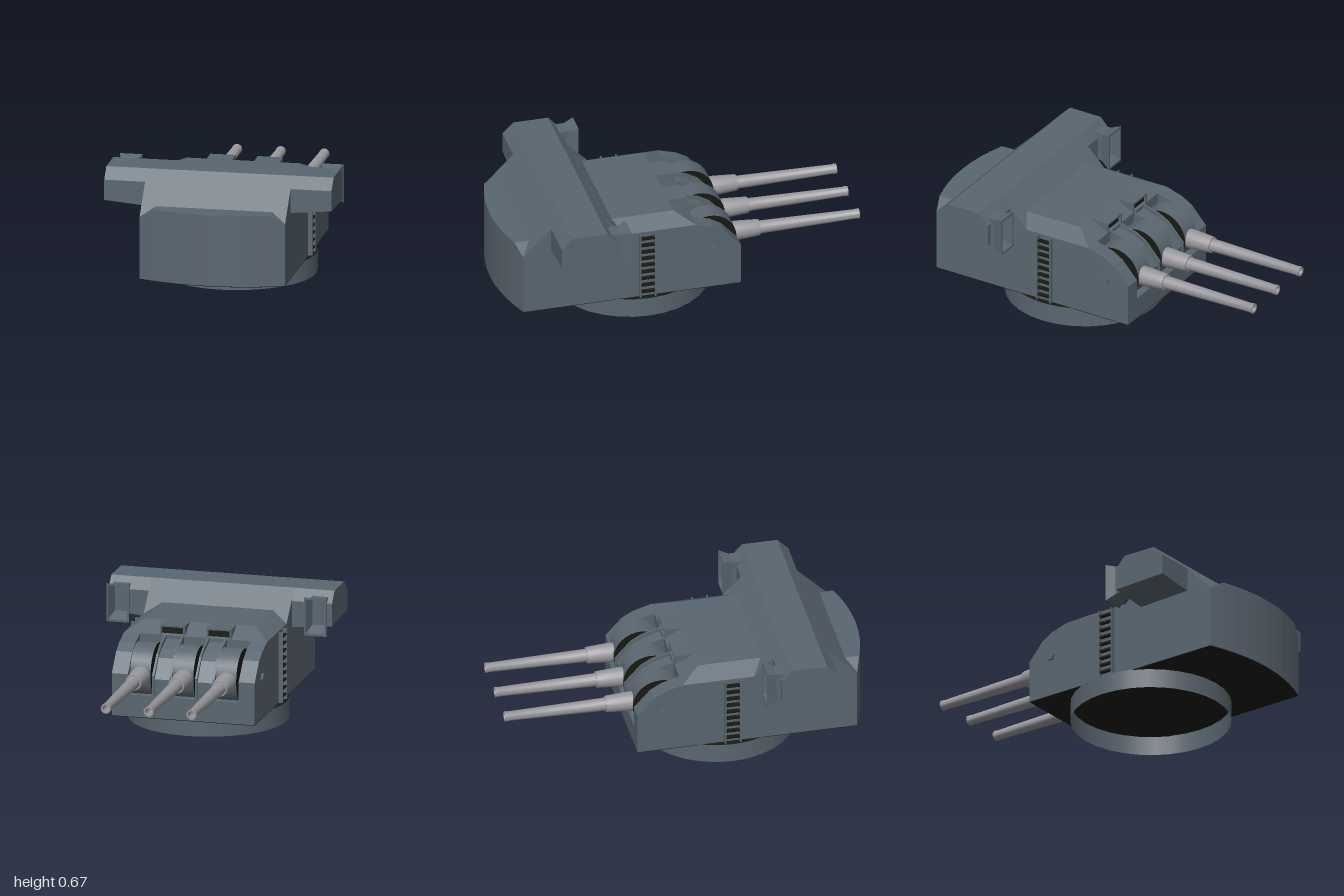
import * as THREE from 'three';
import { toCreasedNormals } from 'three/addons/utils/BufferGeometryUtils.js';

const armour = new THREE.MeshStandardMaterial({ color: 0x5a6670 });
armour.name = 'armourGrey';
armour.side = THREE.DoubleSide;
const steel = new THREE.MeshStandardMaterial({ color: 0x98989c });
steel.name = 'barrelSteel';
const dark = new THREE.MeshStandardMaterial({ color: 0x1a1a12 });
dark.name = 'darkRecess';
dark.side = THREE.DoubleSide;

// Flat-shaded skin over matching cross-sections, capped at both ends
function loft(sections) {
  const pos = [];
  const tri = (a, b, c) => pos.push(...a, ...b, ...c);
  const n = sections[0].length;
  for (let s = 0; s + 1 < sections.length; s++) {
    const A = sections[s], B = sections[s + 1];
    for (let i = 0; i < n; i++) {
      const j = (i + 1) % n;
      tri(A[i], A[j], B[j]);
      tri(A[i], B[j], B[i]);
    }
  }
  const first = sections[0], last = sections[sections.length - 1];
  for (let i = 1; i + 1 < n; i++) {
    tri(first[0], first[i + 1], first[i]);
    tri(last[0], last[i], last[i + 1]);
  }
  const g = new THREE.BufferGeometry();
  g.setAttribute('position', new THREE.Float32BufferAttribute(pos, 3));
  g.computeVertexNormals();
  return g;
}

// Side profile of [z, y] points, extruded from x0 to x1
function prism(profile, x0, x1) {
  const shape = new THREE.Shape(profile.map(([z, y]) => new THREE.Vector2(z, y)));
  const g = new THREE.ExtrudeGeometry(shape, { depth: x1 - x0, bevelEnabled: false });
  return g.rotateY(-Math.PI / 2).translate(x1, 0, 0);
}

// Box given by its limits
function block(x0, x1, y0, y1, z0, z1) {
  return new THREE.BoxGeometry(x1 - x0, y1 - y0, z1 - z0)
    .translate((x0 + x1) / 2, (y0 + y1) / 2, (z0 + z1) / 2);
}

export function createModel() {
  const model = new THREE.Group();
  model.name = 'gunTurret';
  const add = (name, geometry, material = armour) => {
    const m = new THREE.Mesh(geometry, material);
    m.name = name;
    model.add(m);
    return m;
  };
  const rearZ = x => 0.915 + 0.08 * (1 - (x / 0.4) ** 2);

  // Base ring, open below, with a dark top
  add('baseRing', new THREE.CylinderGeometry(0.435, 0.435, 0.11, 32, 1, true).translate(0, 0.055, 0.22));
  add('baseRingTop', new THREE.CircleGeometry(0.435, 32).rotateX(-Math.PI / 2).translate(0, 0.109, 0.22), dark);

  // Main house with its raised rear ridge
  add('house', prism([
    [0.915, 0.11], [0.915, 0.455], [0.70, 0.67], [0.505, 0.67], [0.345, 0.51],
    [-0.05, 0.51], [-0.05, 0.455], [0, 0.4], [0, 0.11],
  ], -0.4, 0.4));
  add('frontSill', block(-0.4, 0.4, 0.11, 0.23, -0.3, 0));

  // Curved rear with chamfered top corners
  const xs = [-0.4, -0.32, -0.24, -0.16, -0.08, 0, 0.08, 0.16, 0.24, 0.32, 0.4];
  add('curvedRear', loft(xs.map(x => {
    const top = Math.abs(x) > 0.33 ? 0.455 : 0.505;
    return [[x, 0.11, 0.865], [x, top, 0.865], [x, top, rearZ(x)], [x, 0.11, rearZ(x)]];
  })));

  // Dark underside following the plan
  const plan = new THREE.Shape([
    new THREE.Vector2(-0.4, -0.3), new THREE.Vector2(0.4, -0.3),
    ...xs.slice().reverse().map(x => new THREE.Vector2(x, rearZ(x))),
  ]);
  add('underside', new THREE.ShapeGeometry(plan).rotateX(Math.PI / 2).translate(0, 0.107, 0), dark);

  // Raised roof with sloped front and sides
  add('raisedRoof', loft([
    [[-0.4, 0.51, -0.05], [-0.4, 0.51, 0.35], [0.4, 0.51, 0.35], [0.4, 0.51, -0.05]],
    [[-0.31, 0.565, 0.055], [-0.31, 0.565, 0.4], [0.31, 0.565, 0.4], [0.31, 0.565, 0.055]],
  ]));

  // Rangefinder beam across the rear
  add('rangefinderBeam', loft([[-0.625, 0.02], [-0.4, 0], [0.4, 0], [0.625, 0.02]].map(([x, lift]) => [
    [x, 0.465 + lift, 0.45], [x, 0.61, 0.45], [x, 0.67, 0.505],
    [x, 0.67, 0.70], [x, 0.61, 0.76], [x, 0.477 + lift, 0.76],
  ])));

  // Front armour outline shared by cheeks and rib plates
  const front = (drop = 0) => [
    [0, 0.2], [0, 0.51 - drop], [-0.05, 0.51 - drop], [-0.15, 0.48 - drop],
    [-0.21, 0.445 - drop], [-0.3 + drop / 2, 0.345 - drop], [-0.3 + drop / 2, 0.2],
  ];

  for (const s of [-1, 1]) {
    const span = (a, b) => (s > 0 ? [a, b] : [-b, -a]);

    // Cheeks, ribs between the guns, and their edge plates
    add('cheek', prism(front(), ...span(0.31, 0.4)));
    add('rib', prism(front(0.02), ...span(0.07, 0.17)));
    add('ribPlate', prism(front(), ...span(0.065, 0.077)));
    add('ribPlate', prism(front(), ...span(0.163, 0.175)));

    // Sighting hood above each rib, open to the front
    add('hoodTop', block(...span(0.06, 0.2), 0.555, 0.565, -0.05, 0.056));
    add('hoodSide', block(...span(0.06, 0.07), 0.505, 0.56, -0.05, 0.05));
    add('hoodSide', block(...span(0.19, 0.2), 0.505, 0.56, -0.05, 0.05));
    add('hoodRecess', block(...span(0.07, 0.19), 0.505, 0.556, -0.036, -0.03), dark);

    // Trunnion bolt
    add('trunnionBolt', new THREE.CylinderGeometry(0.026, 0.026, 0.03, 6)
      .rotateZ(Math.PI / 2).translate(s * 0.399, 0.34, -0.155));

    // Flared rangefinder sight
    const ring = (z, w, y0, y1) => [
      [s * 0.553 - w, y0, z], [s * 0.553 - w, y1, z], [s * 0.553 + w, y1, z], [s * 0.553 + w, y0, z],
    ];
    add('rangefinderSight', loft([
      ring(0.475, 0.044, 0.485, 0.64), ring(0.425, 0.044, 0.475, 0.64), ring(0.37, 0.063, 0.445, 0.657),
      ring(0.37, 0.053, 0.457, 0.645), ring(0.44, 0.034, 0.49, 0.625),
    ]));

    // Side ladder
    for (const z of [0.178, 0.262]) {
      add('ladderRail', block(...span(0.4, 0.425), 0.112, 0.507, z, z + 0.008));
    }
    for (let i = 0; i < 9; i++) {
      const y = 0.138 + i * 0.0415;
      add('ladderRung', block(...span(0.4, 0.422), y, y + 0.011, 0.186, 0.262), dark);
    }
  }

  // Three guns, each with a drum mantlet and a stepped hollow barrel
  const barrelProfile = [
    [0.053, 0.26], [0.053, 0.32], [0.046, 0.43], [0.044, 0.442], [0.036, 0.442], [0.035, 0.5],
    [0.026, 0.98], [0.028, 0.985], [0.028, 1], [0.019, 1], [0.017, 0.9], [0, 0.9],
  ].map(([r, y]) => new THREE.Vector2(r, y));
  const barrel = toCreasedNormals(
    new THREE.LatheGeometry(barrelProfile, 20).rotateX(-Math.PI / 2), 0.6);
  const drum = new THREE.CylinderGeometry(0.15, 0.15, 0.114, 32).rotateZ(Math.PI / 2);
  for (const x of [-0.24, 0, 0.24]) {
    add('gunDrum', drum, [armour, dark, dark]).position.set(x, 0.34, -0.152);
    add('gunBarrel', barrel, steel).position.set(x, 0.34, 0);
  }

  return model;
}
